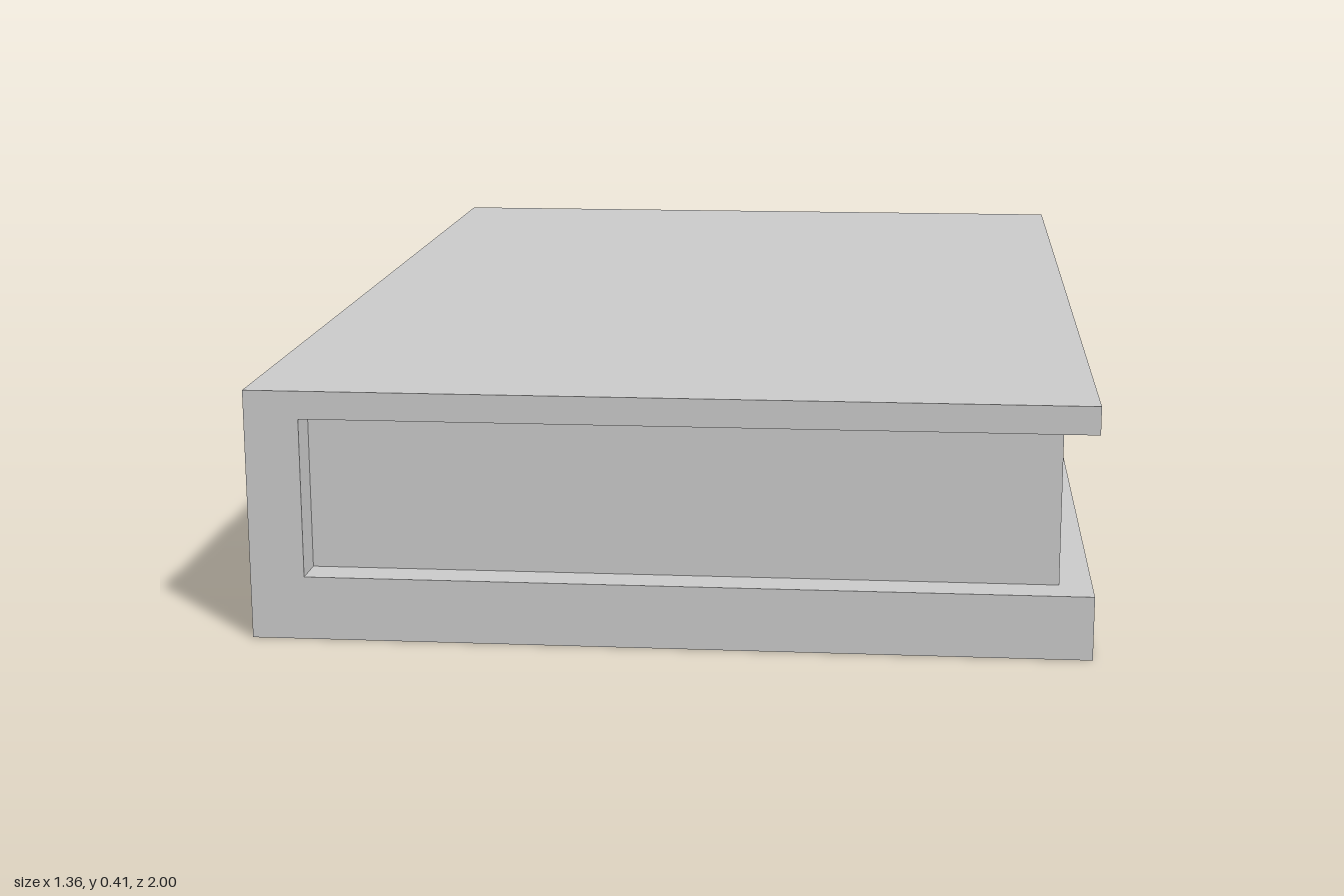
import * as THREE from 'three';

const HALF_WIDTH = 0.68, HEIGHT = 0.414, LENGTH = 2;
const FLOOR = 0.105, CEILING = 0.368; // inner faces of the two covers
const SPINE = -0.591, PAGE_EDGE = 0.627, PAGE_LENGTH = 1.88;

export function createModel() {
  const group = new THREE.Group();
  const material = new THREE.MeshStandardMaterial({ color: 0xcccccc, flatShading: true });

  // Cover: thick base, spine and thin top as one C-shaped profile along z
  const profile = new THREE.Shape([
    [-HALF_WIDTH, 0], [HALF_WIDTH, 0], [HALF_WIDTH, FLOOR], [SPINE, FLOOR],
    [SPINE, CEILING], [HALF_WIDTH, CEILING], [HALF_WIDTH, HEIGHT], [-HALF_WIDTH, HEIGHT],
  ].map(([x, y]) => new THREE.Vector2(x, y)));
  const coverGeometry = new THREE.ExtrudeGeometry(profile, { depth: LENGTH, bevelEnabled: false });
  coverGeometry.translate(0, 0, -LENGTH / 2);
  const cover = new THREE.Mesh(coverGeometry, material);
  cover.name = 'cover';
  group.add(cover);

  // Page block, set back from the cover on its three open sides
  const pages = new THREE.Mesh(
    new THREE.BoxGeometry(PAGE_EDGE - SPINE, CEILING - FLOOR, PAGE_LENGTH), material);
  pages.position.set((PAGE_EDGE + SPINE) / 2, (CEILING + FLOOR) / 2, 0);
  pages.name = 'pageBlock';
  group.add(pages);

  return group;
}
